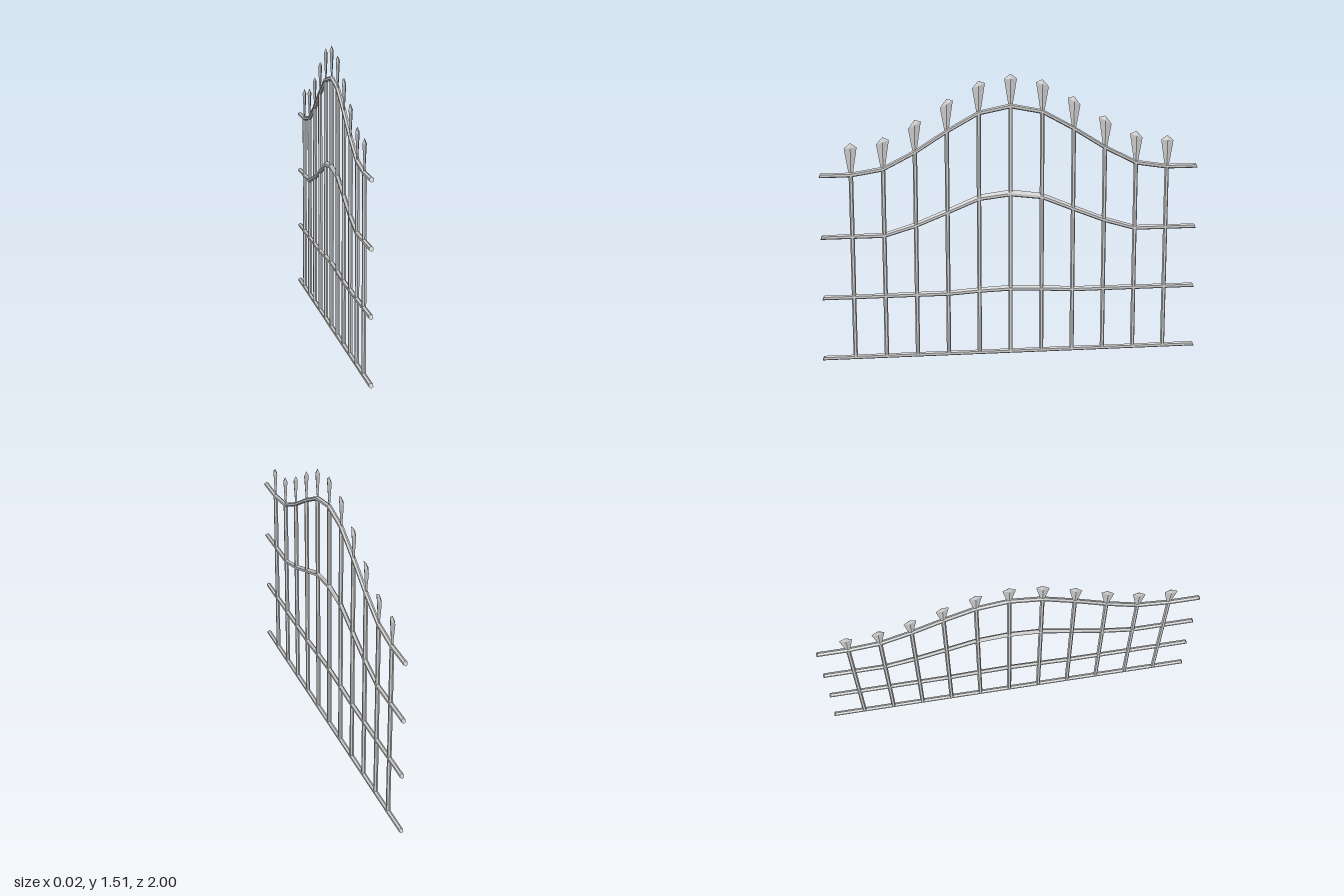
import * as THREE from 'three';

const material = new THREE.MeshStandardMaterial({ color: 0xcccccc, flatShading: true });
const R = 0.0125;          // rail radius
const SPACING = 0.165;     // distance between bars

// Rail heights from the centre outwards, one per bar
const TOP = [1.345, 1.312, 1.22, 1.115, 1.03, 1.004, 1.004];
const MIDDLE = [0.878, 0.858, 0.79, 0.724, 0.675, 0.675, 0.675];
const LOWER = [0.362, 0.356, 0.346, 0.346, 0.346, 0.346, 0.346];
const BOTTOM = Array(7).fill(R);

// Hexagonal rail swept through stations along z; the top edge swells by `swell` at the arch
function rail(name, heights, end, swell) {
  const pos = [], idx = [], sides = 6;
  for (let i = -6; i <= 6; i++) {
    const k = Math.abs(i);
    const z = Math.sign(i) * (k === 6 ? end : k * SPACING);
    const lift = swell * Math.max(0, 1 - k / 5);
    for (let s = 0; s < sides; s++) {
      const a = Math.PI / 2 + (s * Math.PI * 2) / sides;
      const dy = Math.sin(a) * R;
      const slant = k === 6 ? Math.sign(i) * -dy * 0.4 : 0;
      pos.push(Math.cos(a) * R * 0.97, heights[k] + dy + (s === 0 ? lift : 0), z + slant);
    }
  }
  for (let i = 0; i < 12; i++) {
    for (let s = 0; s < sides; s++) {
      const a = i * sides + s, b = i * sides + (s + 1) % sides;
      idx.push(a, b, b + sides, a, b + sides, a + sides);
    }
  }
  // End caps
  const last = 12 * sides;
  for (let s = 1; s < sides - 1; s++) {
    idx.push(0, s + 1, s, last, last + s, last + s + 1);
  }
  const geo = new THREE.BufferGeometry();
  geo.setAttribute('position', new THREE.Float32BufferAttribute(pos, 3));
  geo.setIndex(idx);
  geo.computeVertexNormals();
  const mesh = new THREE.Mesh(geo, material);
  mesh.name = name;
  return mesh;
}

// Flat four-sided spearhead, sheared to follow the slope of the top rail
function spearhead(slope) {
  const profile = [[0, 0], [0.01, 0], [0.033, 0.142], [0, 0.168]].map(p => new THREE.Vector2(...p));
  const geo = new THREE.LatheGeometry(profile, 4);
  const p = geo.attributes.position;
  for (let i = 0; i < p.count; i++) {
    const x = p.getX(i), y = p.getY(i), z = p.getZ(i);
    p.setXYZ(i, x * 0.32, y + z * slope, z);
  }
  geo.computeVertexNormals();
  const mesh = new THREE.Mesh(geo, material);
  mesh.name = 'spearhead';
  return mesh;
}

export function createModel() {
  const group = new THREE.Group();
  group.name = 'gate';

  // Horizontal rails
  group.add(
    rail('topRail', TOP, 0.985, 0),
    rail('middleRail', MIDDLE, 0.985, 0.011),
    rail('lowerRail', LOWER, 0.985, 0.006),
    rail('bottomRail', BOTTOM, 0.994, 0)
  );

  // Upright bars, each tipped with a spearhead
  for (let i = -5; i <= 5; i++) {
    const k = Math.abs(i), z = i * SPACING, height = TOP[k] - R;
    const bar = new THREE.Mesh(new THREE.CylinderGeometry(0.0115, 0.0115, height, 6), material);
    bar.name = 'uprightBar';
    bar.position.set(0, R + height / 2, z);

    const slope = k === 0 ? 0 : Math.sign(i) * (TOP[k + 1] - TOP[k - 1]) / (2 * SPACING);
    const head = spearhead(slope);
    head.position.set(0, TOP[k], z);
    group.add(bar, head);
  }
  return group;
}
